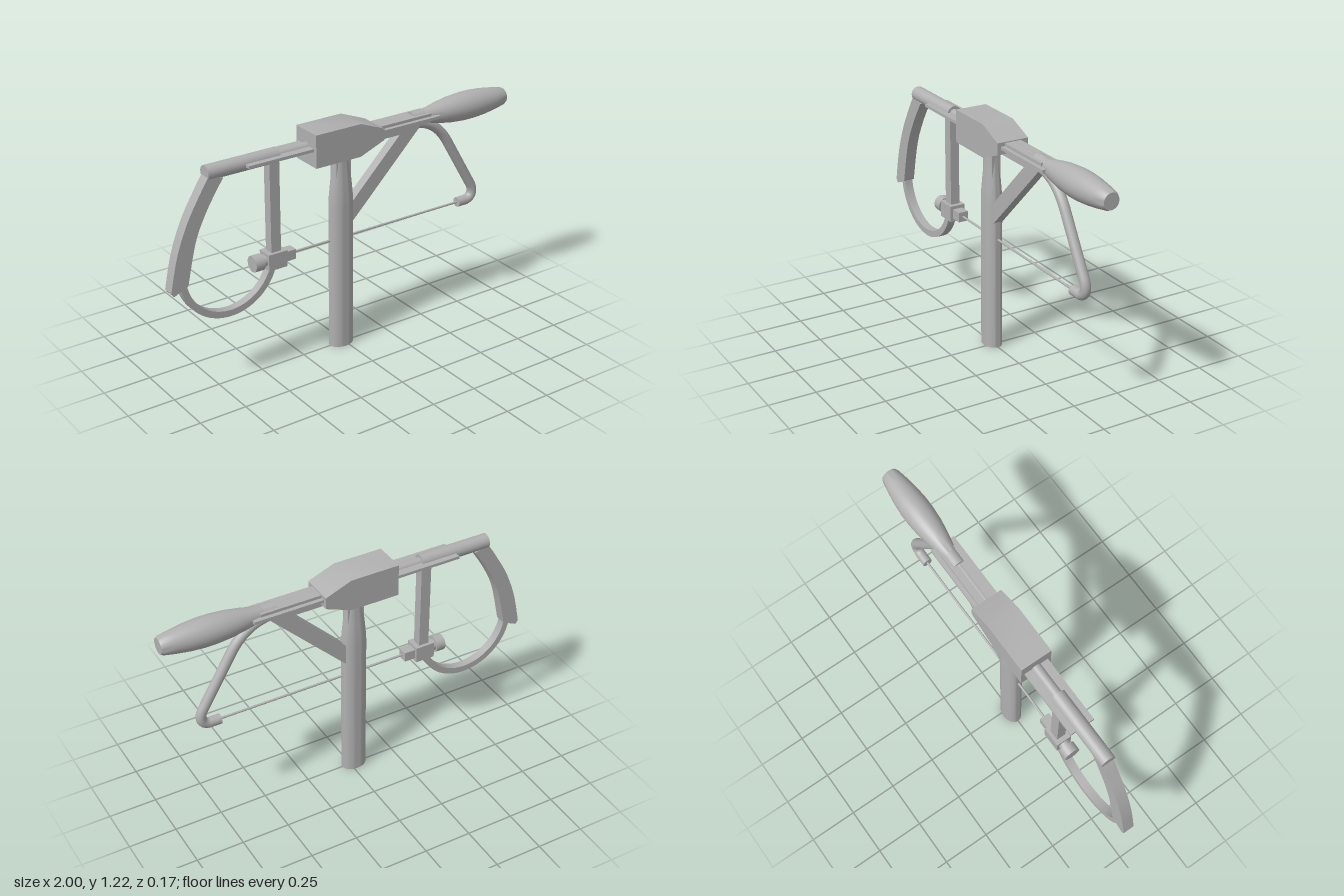
import * as THREE from 'three';
import { toCreasedNormals } from 'three/addons/utils/BufferGeometryUtils.js';

export function createModel() {
  const model = new THREE.Group();
  const grey = new THREE.MeshStandardMaterial({ color: 0xb0b0b0 });
  grey.name = 'grey';

  const add = (name, geometry, x = 0, y = 0, z = 0) => {
    const mesh = new THREE.Mesh(geometry, grey);
    mesh.name = name;
    mesh.position.set(x, y, z);
    model.add(mesh);
    return mesh;
  };

  // Box given by its x range, y range and half depth
  const box = (name, x0, x1, y0, y1, hz) =>
    add(name, new THREE.BoxGeometry(x1 - x0, y1 - y0, hz * 2), (x0 + x1) / 2, (y0 + y1) / 2);

  // Cylinder lying along x
  const rod = (name, x0, x1, y, r, sides = 24) =>
    add(name, new THREE.CylinderGeometry(r, r, x1 - x0, sides).rotateZ(-Math.PI / 2), (x0 + x1) / 2, y);

  // Side profile extruded symmetrically in z
  const plate = (name, shape, hz) => {
    const g = new THREE.ExtrudeGeometry(shape, { depth: hz * 2, bevelEnabled: false, curveSegments: 20 });
    return add(name, toCreasedNormals(g.translate(0, 0, -hz), 0.5));
  };

  const vectors = (points) => points.map(([x, y]) => new THREE.Vector2(x, y));
  const polygon = (points) => new THREE.Shape(vectors(points));
  const lathe = (points) => toCreasedNormals(new THREE.LatheGeometry(vectors(points), 32), 0.6);

  // Oval upright post with a narrowing neck
  const post = lathe([[0, 0], [0.048, 0], [0.048, 0.79], [0.046, 0.84], [0.041, 0.91], [0.035, 0.98], [0.031, 1.06], [0, 1.06]]);
  add('uprightPost', post.scale(1.4, 1, 1), -0.02);
  box('neckTang', -0.063, 0.025, 0.85, 1.08, 0.024);

  // Central housing with a wedge nose
  plate('housing', polygon([
    [-0.22, 1.05], [0.04, 1.05], [0.18, 1.105], [0.18, 1.165], [0.04, 1.22], [-0.22, 1.22],
  ]), 0.085);

  // Horizontal rails
  rod('leftTube', -0.78, -0.39, 1.137, 0.038);
  rod('innerRod', -0.5, 0.5, 1.135, 0.026);
  box('guidePlate', -0.58, 0.545, 1.13, 1.145, 0.066);
  box('rightRail', 0.1, 0.5, 1.112, 1.16, 0.045);
  rod('handleCollar', 0.405, 0.5, 1.137, 0.037);

  // Turned grip at the right-hand end
  const grip = lathe([
    [0, 0], [0.036, 0], [0.042, 0.06], [0.056, 0.13], [0.067, 0.2], [0.073, 0.28],
    [0.073, 0.34], [0.068, 0.41], [0.058, 0.48], [0.048, 0.535], [0.041, 0.55], [0, 0.55],
  ]);
  add('grip', grip.rotateZ(-Math.PI / 2), 0.45, 1.135);

  // Diagonal brace with its top bar
  plate('diagonalBrace', polygon([[-0.02, 0.635], [0.05, 0.7], [0.445, 1.095], [0.42, 1.115], [0.355, 1.115], [-0.02, 0.74]]), 0.025);
  box('braceTopBar', 0.08, 0.43, 1.08, 1.115, 0.025);

  // Bent tube arm on the right
  const arm = new THREE.CurvePath();
  const v = (x, y) => new THREE.Vector3(x, y, 0);
  arm.add(new THREE.CubicBezierCurve3(v(0.4, 1.11), v(0.5, 1.11), v(0.58, 1.07), v(0.645, 0.96)));
  arm.add(new THREE.LineCurve3(v(0.645, 0.96), v(0.805, 0.69)));
  arm.add(new THREE.CubicBezierCurve3(v(0.805, 0.69), v(0.835, 0.64), v(0.815, 0.6), v(0.77, 0.6)));
  add('bentArm', new THREE.TubeGeometry(arm, 80, 0.026, 16));
  rod('armEnd', 0.72, 0.785, 0.6, 0.026, 20);

  // Thin wire and its tensioner
  rod('wire', -0.32, 0.73, 0.6, 0.006, 10);
  box('wireSocket', -0.37, -0.305, 0.574, 0.626, 0.027);
  box('tensionBlock', -0.47, -0.365, 0.557, 0.643, 0.042);
  rod('knobNeck', -0.5, -0.46, 0.6, 0.03);
  rod('knob', -0.54, -0.49, 0.6, 0.042);
  box('hangerBar', -0.445, -0.39, 0.63, 1.13, 0.025);

  // Curved blade at the left end
  const blade = new THREE.Shape();
  blade.moveTo(-0.7, 1.105);
  blade.lineTo(-0.775, 1.13);
  blade.splineThru(vectors([[-0.82, 1.06], [-0.9, 0.92], [-0.96, 0.765], [-1, 0.59]]));
  blade.lineTo(-0.985, 0.57);
  blade.lineTo(-0.908, 0.605);
  blade.splineThru(vectors([[-0.857, 0.82], [-0.79, 0.965], [-0.7, 1.105]]));
  plate('curvedBlade', blade, 0.03);

  // Lower loop joining the blade to the tensioner
  const loop = new THREE.Shape();
  const start = Math.PI + 0.15, end = Math.PI * 2 - 0.29;
  loop.absarc(-0.678, 0.64, 0.27, start, end, false);
  loop.absarc(-0.678, 0.64, 0.236, end, start, true);
  plate('lowerLoop', loop, 0.022);

  return model;
}
